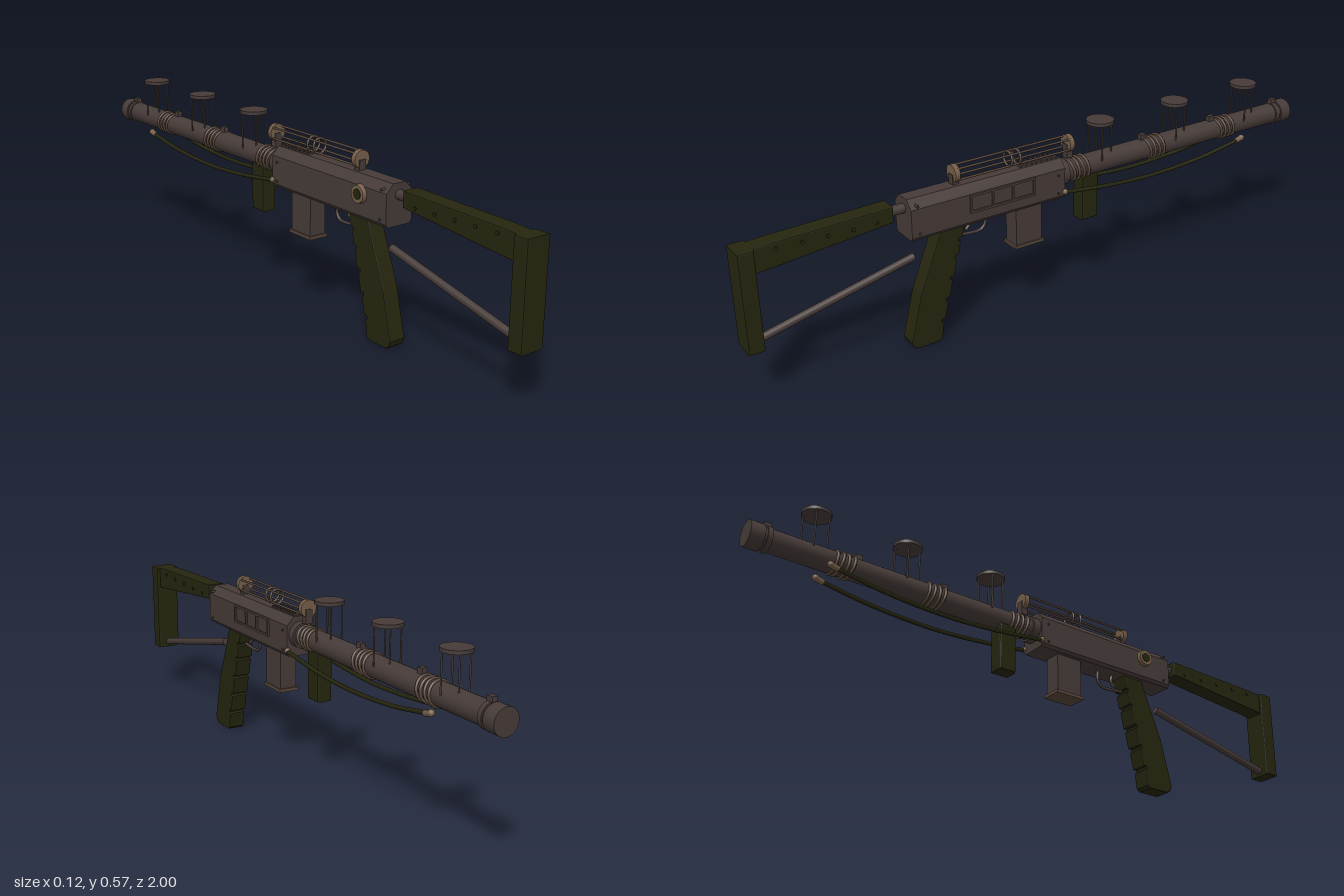
import * as THREE from 'three';

const mat = (name, color) => new THREE.MeshStandardMaterial({ name, color });

export function createModel() {
  const metal = mat('gunmetal', 0x463b38);
  const bronze = mat('bronze', 0x755e49);
  const brown = mat('dark bronze', 0x574639);
  const green = mat('dark olive', 0x25250f);
  const root = new THREE.Group();
  root.name = 'longGun';
  const model = new THREE.Group();
  model.name = 'body';
  model.position.x = 0.0025;
  root.add(model);

  const add = (name, geo, material, x = 0, y = 0, z = 0) => {
    const m = new THREE.Mesh(geo, material);
    m.name = name;
    m.position.set(x, y, z);
    model.add(m);
    return m;
  };
  const box = (name, material, w, h, d, x, y, z) =>
    add(name, new THREE.BoxGeometry(w, h, d), material, x, y, z);
  // Cylinder between two points
  const rod = (name, material, a, b, r, sides = 12, r2 = r) => {
    const p = new THREE.Vector3(...a), q = new THREE.Vector3(...b), d = q.clone().sub(p);
    const m = add(name, new THREE.CylinderGeometry(r2, r, d.length(), sides), material);
    m.position.copy(p).add(q).multiplyScalar(0.5);
    m.quaternion.setFromUnitVectors(new THREE.Vector3(0, 1, 0), d.normalize());
    return m;
  };
  // Side outline given as [z, y] points, extruded across x
  const slab = (name, material, pts, width, bevel = 0.006) => {
    const g = new THREE.ExtrudeGeometry(new THREE.Shape(pts.map(p => new THREE.Vector2(...p))), {
      depth: width - 2 * bevel, bevelEnabled: true, bevelSize: bevel, bevelOffset: -bevel,
      bevelThickness: bevel, bevelSegments: 2,
    });
    g.translate(0, 0, bevel - width / 2).rotateY(-Math.PI / 2);
    return add(name, g, material);
  };
  const tube = (name, material, pts, r, segments = 32) =>
    add(name, new THREE.TubeGeometry(new THREE.CatmullRomCurve3(pts.map(p => new THREE.Vector3(...p))),
      segments, r, 8), material);

  // Shoulder stock
  slab('buttPlate', green, [[0.953, 0.17], [1, 0.17], [1, 0.475], [0.953, 0.475]], 0.08, 0.004);
  slab('stockBar', green, [[0.54, 0.437], [0.955, 0.4], [0.955, 0.475], [0.9, 0.478], [0.54, 0.486]], 0.058, 0.004);
  rod('stockTube', metal, [0, 0.46, 0.545], [0, 0.46, 0.48], 0.015, 16);
  rod('stockStrut', metal, [0, 0.188, 0.962], [0, 0.298, 0.47], 0.012, 16);
  for (const s of [-1, 1])
    for (let i = 0; i < 5; i++)
      rod('stockRivet', green, [s * 0.027, 0.448 + (4 - i) * 0.003, 0.89 - i * 0.075 + 0.0],
        [s * 0.032, 0.448 + (4 - i) * 0.003, 0.89 - i * 0.075], 0.006, 8);

  // Receiver with chamfered cross-section
  const section = new THREE.Shape([[-0.04, 0.37], [0.04, 0.37], [0.047, 0.38], [0.047, 0.468], [0.023, 0.494],
    [-0.023, 0.494], [-0.047, 0.468], [-0.047, 0.38]].map(p => new THREE.Vector2(...p)));
  add('receiver', new THREE.ExtrudeGeometry(section, { depth: 0.53, bevelEnabled: false }), metal, 0, 0, -0.035);
  for (let i = 0; i < 8; i++)
    box('coolingRib', metal, 0.04, 0.008, 0.007, 0, 0.496, 0.105 - i * 0.018);
  for (const s of [-1, 1])
    for (const [y, z] of [[0.477, 0.475], [0.39, 0.47], [0.39, -0.01], [0.45, -0.01]])
      rod('receiverPin', metal, [s * 0.035, y, z], [s * 0.051, y, z], 0.004, 8);

  // Raised side window frame
  for (const y of [0.413, 0.465]) box('sideFrameRail', metal, 0.008, 0.007, 0.225, 0.049, y, 0.19);
  for (const z of [0.3, 0.225, 0.155, 0.08]) box('sideFramePost', metal, 0.008, 0.052, 0.007, 0.049, 0.439, z);

  // Side knob
  rod('sideKnob', bronze, [-0.045, 0.445, 0.385], [-0.06, 0.445, 0.385], 0.028, 24, 0.026);
  rod('sideKnobFace', green, [-0.059, 0.445, 0.385], [-0.0615, 0.445, 0.385], 0.016, 24);

  // Open sight cage on top
  for (const z of [0.327, -0.077]) {
    rod('sightDisc', bronze, [0, 0.526, z - 0.008], [0, 0.526, z + 0.008], 0.027, 24);
    box('sightMount', metal, 0.023, 0.045, 0.022, 0, 0.502, z);
  }
  for (let i = 0; i < 4; i++) {
    const a = Math.PI / 4 + i * Math.PI / 2, x = 0.024 * Math.cos(a), y = 0.526 + 0.024 * Math.sin(a);
    rod('sightRod', brown, [x, y, -0.077], [x, y, 0.327], 0.0035, 8);
  }
  for (const z of [0.14, 0.11])
    add('sightRing', new THREE.TorusGeometry(0.023, 0.004, 8, 24), brown, 0, 0.526, z);

  // Barrel and muzzle
  const by = 0.437;
  rod('barrel', metal, [0, by, -0.03], [0, by, -0.98], 0.034, 32);
  rod('barrelCollar', metal, [0, by, -0.03], [0, by, -0.06], 0.041, 32);
  rod('muzzleCap', metal, [0, by, -0.958], [0, by, -1], 0.039, 32);
  rod('muzzleRing', metal, [0, by, -0.935], [0, by, -0.95], 0.038, 32);
  for (const z of [-0.37, -0.66, -0.943]) box('barrelStud', metal, 0.016, 0.02, 0.022, 0, by + 0.041, z);

  // Wire windings on the barrel
  for (const z0 of [-0.108, -0.41, -0.712])
    for (let i = 0; i < 4; i++) {
      const ring = add('barrelWinding', new THREE.TorusGeometry(0.0355, 0.0045, 8, 32), brown,
        0, by, z0 + (i - 1.5) * 0.018);
      ring.rotation.x = i % 2 ? 0.2 : 0.12;
    }

  // Disc towers on four legs
  for (const z of [-0.2, -0.5, -0.8]) {
    rod('towerDisc', metal, [0, 0.565, z], [0, 0.576, z], 0.044, 32);
    for (let i = 0; i < 4; i++) {
      const a = 0.42 + i * Math.PI / 2, x = 0.037 * Math.cos(a), dz = 0.037 * Math.sin(a);
      rod('towerLeg', brown, [x, 0.45, z + dz], [x, 0.567, z + dz], 0.0025, 8);
    }
  }

  // Pistol grip with finger notches on its front edge
  const front = t => [0.31 + 0.093 * t, 0.372 - 0.352 * t];
  const grip = [[0.39, 0.372], [0.466, 0.18], [0.504, 0.03], [0.497, 0.012], [0.485, 0.004], [0.41, 0.004], [0.4, 0.012]];
  for (const t of [0.86, 0.67, 0.48, 0.29, 0.14]) {
    const [z, y] = front(t);
    grip.push([z + 0.003, y - 0.006], [z + 0.011, y - 0.002], [z + 0.009, y + 0.006], [z - 0.003, y + 0.006]);
  }
  grip.push(front(0));
  slab('pistolGrip', green, grip, 0.055, 0.003);

  // Trigger and guard
  tube('triggerGuard', metal, [[0, 0.372, 0.225], [0, 0.34, 0.225], [0, 0.322, 0.24], [0, 0.321, 0.285], [0, 0.326, 0.325]], 0.005);
  tube('trigger', brown, [[0, 0.375, 0.285], [0, 0.352, 0.28], [0, 0.335, 0.292]], 0.005, 12);

  // Magazine and foregrip
  box('magazine', metal, 0.056, 0.14, 0.092, 0, 0.31, 0.086);
  box('magazineBase', brown, 0.066, 0.01, 0.104, 0, 0.241, 0.086);
  slab('foregrip', green, [[-0.118, 0.42], [-0.118, 0.26], [-0.178, 0.26], [-0.178, 0.42]], 0.05, 0.005);

  // Hanging cords with end fittings on both sides
  for (const s of [-1, 1]) {
    const x = s * 0.046;
    tube('cord', green, [[x, 0.389, -0.03], [x, 0.37, -0.19], [x, 0.36, -0.37], [x, 0.37, -0.58], [x, 0.395, -0.75]], 0.0065, 40);
    rod('cordEnd', bronze, [x, 0.393, -0.74], [x, 0.4, -0.765], 0.009, 12);
    add('cordEndBall', new THREE.SphereGeometry(0.0105, 12, 8), bronze, x, 0.4, -0.765);
    add('cordAnchor', new THREE.SphereGeometry(0.0095, 12, 8), bronze, x, 0.39, -0.035);
  }

  return root;
}
